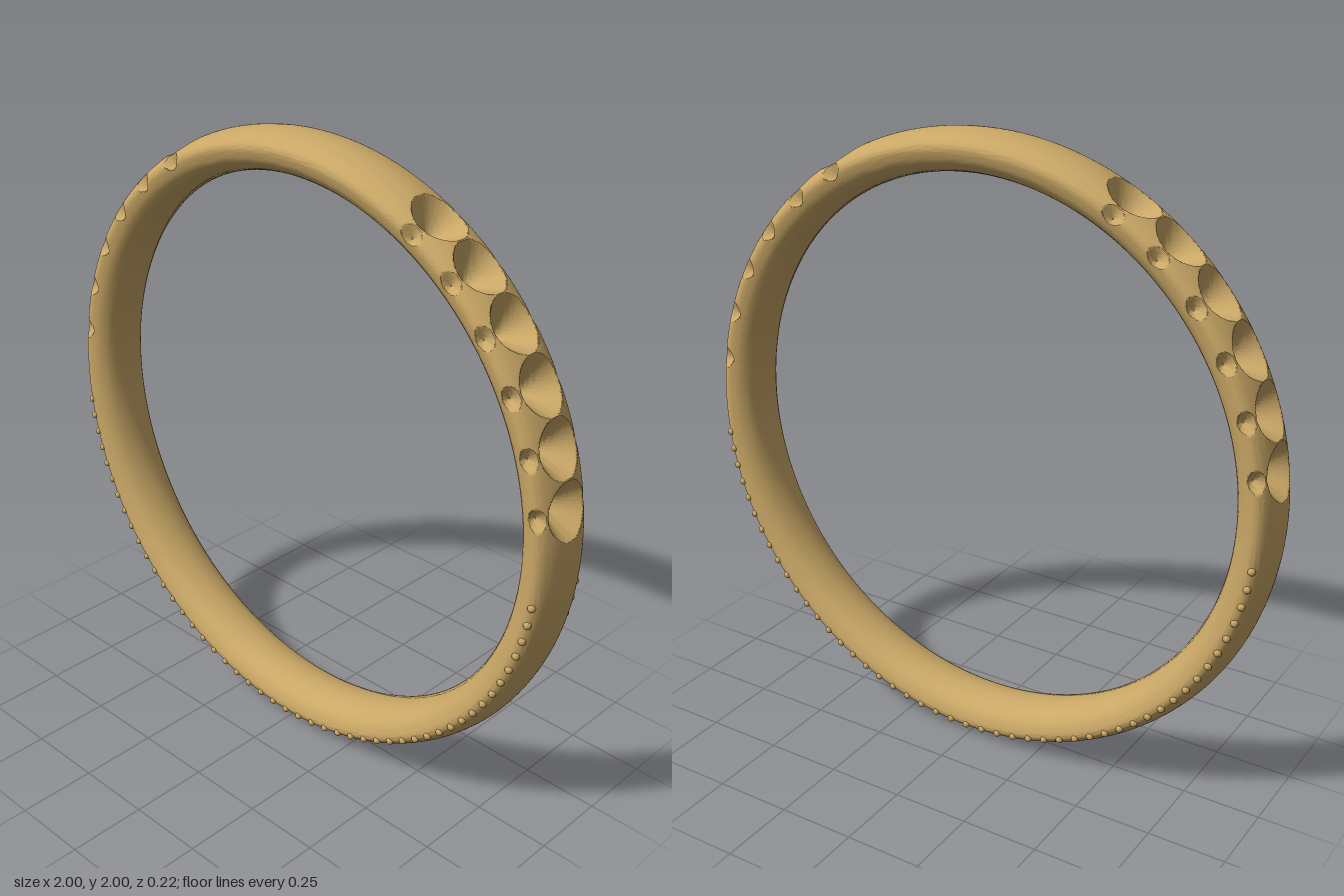
import * as THREE from 'three';
import { toCreasedNormals } from 'three/addons/utils/BufferGeometryUtils.js';

const RAD = Math.PI / 180;
const gold = new THREE.MeshStandardMaterial({ color: 0xc9a766 });
const v2 = (r, z) => new THREE.Vector2(r, z);

// Cross-section (radius, z): domed outside, softly curved inside
function bandProfile() {
  const half = [[0.92, 0.097], [0.948, 0.105], [0.968, 0.098], [0.983, 0.077], [0.994, 0.045]];
  const outer = new THREE.SplineCurve([
    ...half.map(([r, z]) => v2(r, -z)), v2(1, 0), ...half.slice().reverse().map(([r, z]) => v2(r, z)),
  ]).getSpacedPoints(72);
  const inner = new THREE.SplineCurve([
    v2(0.92, 0.097), v2(0.891, 0.073), v2(0.875, 0.037), v2(0.87, 0),
    v2(0.875, -0.037), v2(0.891, -0.073), v2(0.92, -0.097),
  ]).getSpacedPoints(14);
  return [...outer, ...inner.slice(1, -1)];
}

// Conical drill holes: a large one on the crown and a small one on each shoulder
function makeDrills() {
  const drills = [];
  for (let k = 0; k < 6; k++) {
    const a = (9 + 10.2 * k) * RAD;
    for (const angle of [a, Math.PI - a]) {
      const out = new THREE.Vector3(Math.cos(angle), Math.sin(angle), 0);
      drills.push({ apex: out.clone().multiplyScalar(0.885), axis: out, slope: 1.25 });
      for (const side of [-1, 1]) {
        const axis = out.clone().multiplyScalar(0.6).setZ(0.8 * side);
        const apex = out.clone().multiplyScalar(0.956).setZ(0.103 * side).addScaledVector(axis, -0.03);
        drills.push({ apex, axis, slope: 0.9 });
      }
    }
  }
  return drills;
}

// Push a surface point down its drill axis onto the cone
function drillPoint(p, { apex, axis, slope }) {
  const d = p.clone().sub(apex);
  if (d.lengthSq() > 0.03) return;
  const h = d.dot(axis);
  const floor = slope * Math.sqrt(Math.max(0, d.lengthSq() - h * h));
  if (h > floor) p.addScaledVector(axis, floor - h);
}

// Angles round the band, finer where the seats are cut
function bandAngles() {
  const list = [];
  const span = (from, to, n) => {
    for (let i = 0; i < n; i++) list.push((from + ((to - from) * i) / n) * RAD);
  };
  span(3.5, 65.5, 248);
  span(65.5, 114.5, 26);
  span(114.5, 176.5, 248);
  span(176.5, 363.5, 96);
  return list;
}

function bandGeometry() {
  const profile = bandProfile(), angles = bandAngles(), drills = makeDrills();
  const m = profile.length, n = angles.length;
  const positions = [], index = [];
  angles.forEach((a, i) => {
    profile.forEach((q, j) => {
      const p = new THREE.Vector3(q.x * Math.cos(a), q.x * Math.sin(a), q.y);
      drills.forEach((drill) => drillPoint(p, drill));
      positions.push(p.x, p.y, p.z);
      const i2 = (i + 1) % n, j2 = (j + 1) % m;
      const A = i * m + j, B = i2 * m + j, C = i2 * m + j2, D = i * m + j2;
      index.push(A, B, C, A, C, D);
    });
  });
  const geometry = new THREE.BufferGeometry();
  geometry.setAttribute('position', new THREE.Float32BufferAttribute(positions, 3));
  geometry.setIndex(index);
  return toCreasedNormals(geometry, 0.5);
}

export function createModel() {
  const ring = new THREE.Group();
  ring.name = 'ring';

  const band = new THREE.Mesh(bandGeometry(), gold);
  band.name = 'band';
  band.position.y = 1;
  ring.add(band);

  // Rows of tiny beads along both edges of the lower half
  const beadGeometry = new THREE.SphereGeometry(0.012, 10, 8);
  for (const side of [1, -1]) {
    const row = new THREE.Group();
    row.name = side > 0 ? 'frontBeads' : 'backBeads';
    for (let k = -23; k <= 23; k++) {
      const a = (-90 + 3.6 * k) * RAD;
      const bead = new THREE.Mesh(beadGeometry, gold);
      bead.name = 'bead';
      bead.position.set(0.962 * Math.cos(a), 1 + 0.962 * Math.sin(a), 0.101 * side);
      row.add(bead);
    }
    ring.add(row);
  }
  return ring;
}
